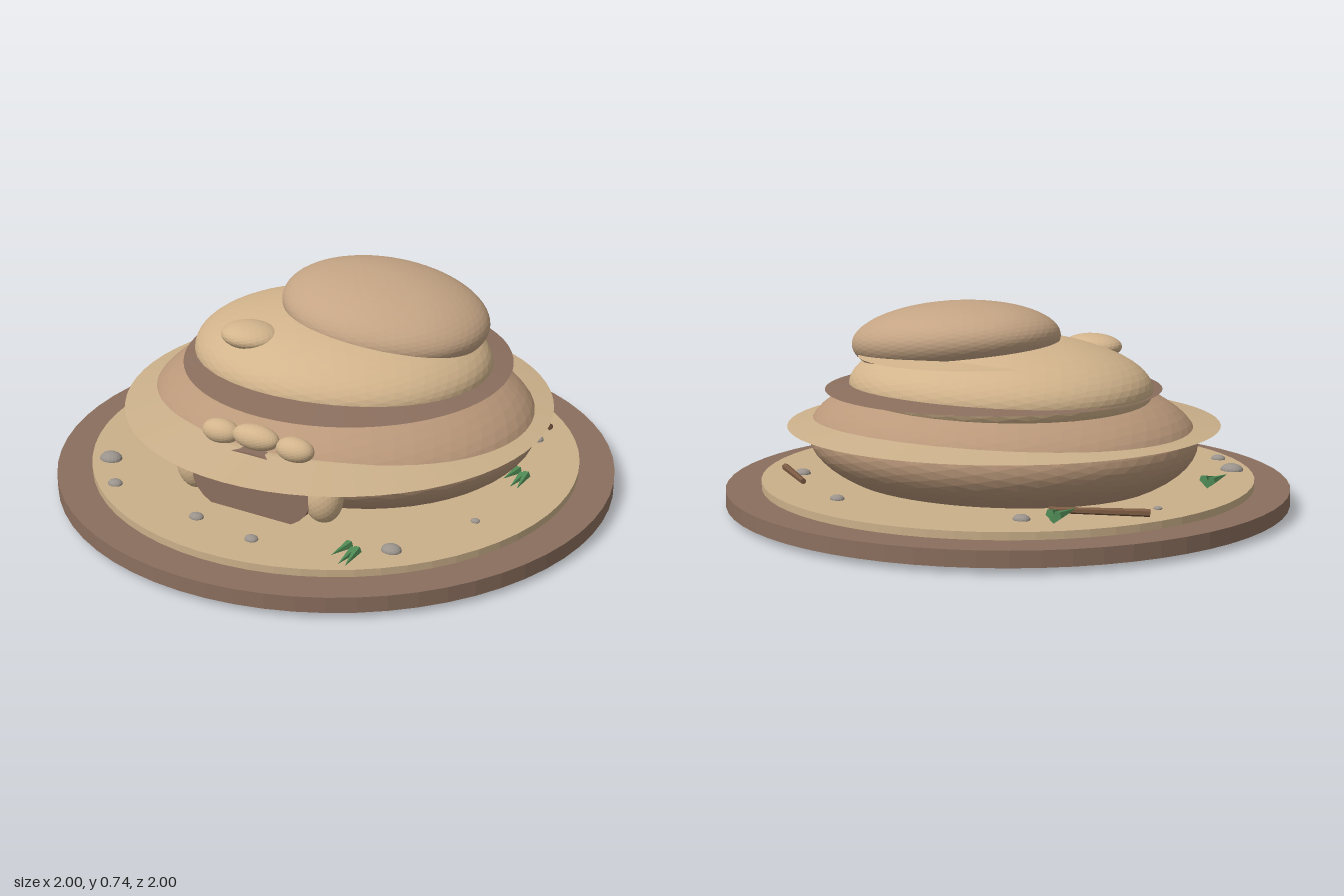
import * as THREE from 'three';

const mat = (color) => new THREE.MeshStandardMaterial({ color, flatShading: true });
const soil = mat(0x8b6f5e), sand = mat(0xcbb08a), clay = mat(0xba987a), pale = mat(0xd2b48c),
  crown = mat(0xc4a484), stone = mat(0x9a938c), wood = mat(0x7a5a42), leaf = mat(0x4f8a55);

export function createModel() {
  const root = new THREE.Group();

  const add = (name, geometry, material, [x, y, z], parent = root) => {
    const mesh = new THREE.Mesh(geometry, material);
    mesh.name = name;
    mesh.position.set(x, y, z);
    parent.add(mesh);
    return mesh;
  };
  const blob = (name, material, pos, size, detail = 8) => {
    const mesh = add(name, new THREE.IcosahedronGeometry(1, detail), material, pos);
    mesh.scale.set(...size);
    return mesh;
  };
  const disc = (name, material, pos, rTop, rBottom, h) =>
    add(name, new THREE.CylinderGeometry(rTop, rBottom, h, 64), material, pos);

  // Ground discs
  disc('groundBase', soil, [0, 0.0525, 0], 1, 1, 0.055);
  disc('groundTop', sand, [0, 0.0925, 0], 0.875, 0.875, 0.027);

  // Stacked mound, leaning towards the back
  blob('lowerMound', clay, [0, 0.255, -0.05], [0.72, 0.25, 0.61], 10);
  blob('middleMound', pale, [-0.03, 0.44, -0.1], [0.555, 0.185, 0.47], 10);
  blob('topMound', crown, [0.1, 0.6, -0.18], [0.385, 0.137, 0.318], 10).rotation.set(0.05, 0, -0.1);
  blob('sideBump', pale, [-0.24, 0.562, 0.18], [0.11, 0.045, 0.09], 4);

  // Thin sharp-rimmed ledges between the layers
  disc('lowerLedge', sand, [0, 0.312, -0.025], 0.58, 0.765, 0.03);
  disc('middleLedge', soil, [0, 0.442, -0.09], 0.44, 0.59, 0.022);
  disc('upperLedge', pale, [0.03, 0.56, -0.17], 0.3, 0.4, 0.014);

  // Entrance with rounded stones around it
  const door = add('entrance', new THREE.CylinderGeometry(1, 1, 0.2, 32), soil, [0, 0.2, 0.475]);
  door.rotation.x = Math.PI / 2;
  door.scale.set(0.23, 1, 0.13);
  for (const s of [-1, 1]) {
    blob('entranceSideStone', pale, [s * 0.252, 0.208, 0.52], [0.07, 0.09, 0.06], 4);
    blob('entranceTopStone', pale, [s * 0.145, 0.355, 0.52], [0.07, 0.042, 0.045], 4);
  }
  blob('entranceKeystone', pale, [0, 0.37, 0.53], [0.088, 0.043, 0.046], 4);

  // Pebbles: x, z, radius
  const pebbles = [
    [-0.65, 0.48, 0.042], [-0.52, 0.63, 0.027], [0.53, 0.56, 0.035], [-0.14, 0.69, 0.026],
    [0.1, 0.725, 0.024], [0.68, 0.25, 0.016], [0.6, -0.42, 0.03], [0.24, -0.67, 0.026],
    [-0.43, -0.57, 0.03], [-0.72, -0.2, 0.015],
  ];
  for (const [x, z, r] of pebbles) blob('pebble', stone, [x, 0.108, z], [r, r * 0.55, r * 0.85], 2);

  // Fallen sticks
  for (const [a, b] of [[[-0.79, -0.38], [-0.5, -0.52]], [[0.63, -0.48], [0.42, -0.63]]]) {
    const from = new THREE.Vector3(a[0], 0.138, a[1]);
    const dir = new THREE.Vector3(b[0], 0.138, b[1]).sub(from);
    const mid = from.clone().addScaledVector(dir, 0.5);
    const stick = add('stick', new THREE.CylinderGeometry(0.01, 0.013, dir.length(), 6), wood, mid.toArray());
    stick.quaternion.setFromUnitVectors(new THREE.Vector3(0, 1, 0), dir.normalize());
  }

  // Grass tufts with blades lying forwards
  for (const [x, z] of [[0.44, 0.7], [0.69, -0.05], [-0.72, 0.2], [-0.55, -0.52]]) {
    const tuft = new THREE.Group();
    tuft.name = 'grassTuft';
    tuft.position.set(x, 0.13, z);
    root.add(tuft);
    for (const [i, dy] of [[-1, 0.012], [0, -0.005], [1, 0.003]]) {
      const blade = add('grassBlade', new THREE.ConeGeometry(0.016, 0.1, 5), leaf, [i * 0.024, dy, i * 0.008], tuft);
      blade.rotation.set(Math.PI / 2 + 0.08 * i, 0, -0.1 * i);
    }
  }
  return root;
}
